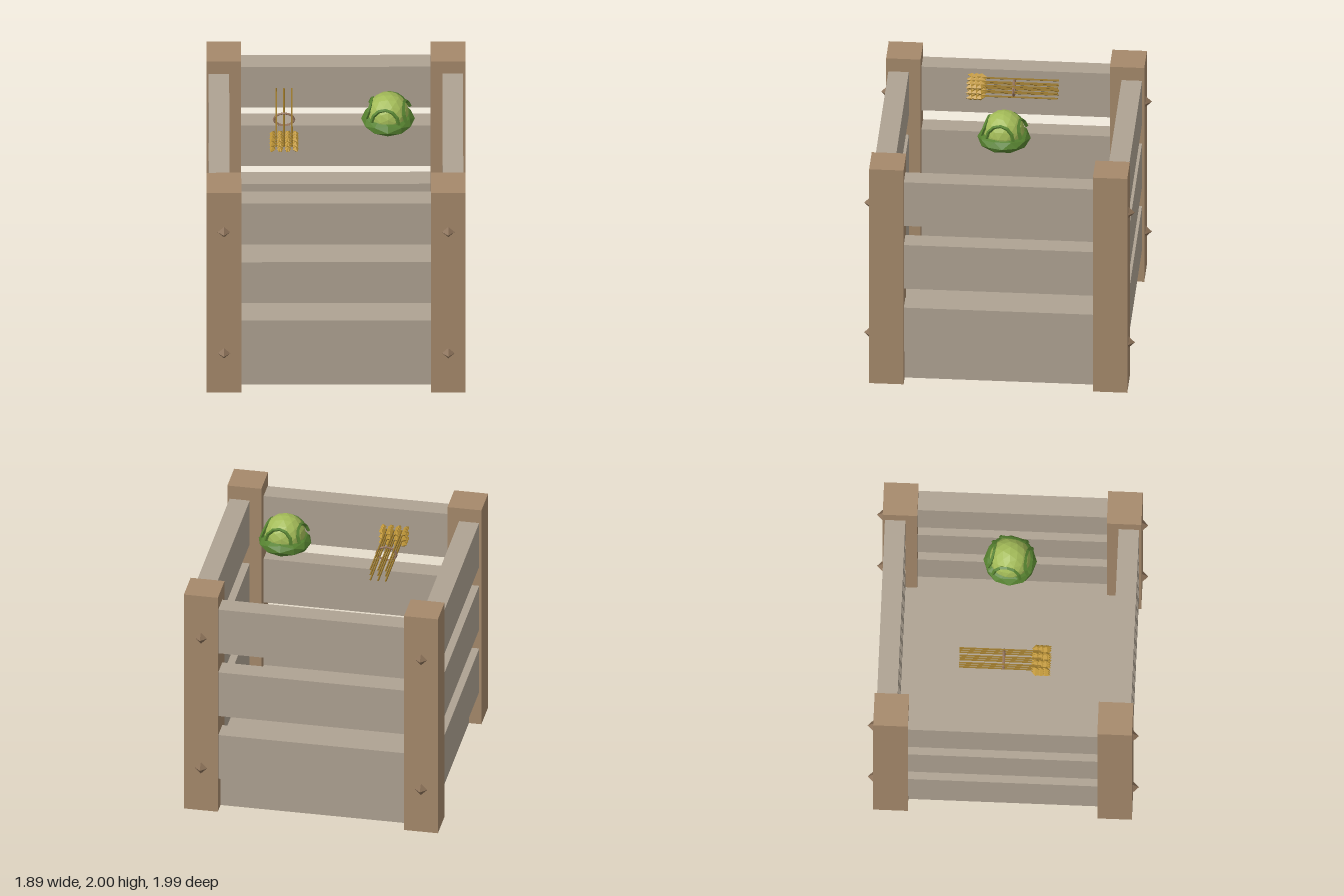
import * as THREE from 'three';

const flat = (name, color) => {
  const m = new THREE.MeshStandardMaterial({ color, flatShading: true });
  m.name = name;
  return m;
};

export function createModel() {
  const mats = {
    post: flat('post wood', 0xa5896b),
    slat: flat('weathered slat wood', 0xaea292),
    stud: flat('stud brown', 0x8c7259),
    outerLeaf: flat('outer leaf green', 0x55802f),
    innerLeaf: flat('head green', 0xa3bb58),
    stalk: flat('straw stalk', 0x98762a),
    grain: flat('grain gold', 0xbf9638),
    twine: flat('twine', 0x94745c),
  };
  const model = new THREE.Group();
  model.name = 'crate';

  const add = (parent, name, geometry, material, x, y, z) => {
    const mesh = new THREE.Mesh(geometry, material);
    mesh.name = name;
    mesh.position.set(x, y, z);
    parent.add(mesh);
    return mesh;
  };

  // Corner posts, with pointed studs on the front and back faces
  const postGeo = new THREE.BoxGeometry(0.253, 1.8, 0.253);
  const studGeo = new THREE.OctahedronGeometry(0.05);
  for (const sx of [-1, 1]) {
    for (const sz of [-1, 1]) {
      add(model, 'post', postGeo, mats.post, sx * 0.82, 0.9, sz * 0.82);
      for (const y of [0.355, 1.447]) {
        add(model, 'stud', studGeo, mats.stud, sx * 0.82, y, sz * 0.943);
      }
    }
  }

  // Three slats on each of the four sides
  const slatGeo = new THREE.BoxGeometry(1.5, 0.367, 0.15);
  for (const y of [0.453, 0.98, 1.508]) {
    for (let side = 0; side < 4; side++) {
      const a = side * Math.PI / 2;
      const slat = add(model, 'slat', slatGeo, mats.slat, Math.sin(a) * 0.855, y, Math.cos(a) * 0.855);
      slat.rotation.y = a;
    }
  }

  // Thick floor, set in a little from the slats
  add(model, 'floor', new THREE.BoxGeometry(1.71, 0.264, 1.71), mats.slat, 0, 0.138, 0);

  // Cabbage: flattened outer leaves, round head and arched leaf rims
  const cabbage = new THREE.Group();
  cabbage.name = 'cabbage';
  cabbage.position.set(0.38, 1.79, 0);
  model.add(cabbage);
  const bowl = add(cabbage, 'outerLeaves', new THREE.IcosahedronGeometry(0.196, 1), mats.outerLeaf, 0, 0, 0);
  bowl.scale.y = 0.42;
  add(cabbage, 'cabbageHead', new THREE.IcosahedronGeometry(0.152, 2), mats.innerLeaf, 0, 0.058, 0);
  const archGeo = new THREE.TorusGeometry(0.1, 0.014, 4, 6, Math.PI);
  for (let i = 0; i < 4; i++) {
    const turn = new THREE.Group();
    turn.name = 'leafRim';
    turn.rotation.y = i * Math.PI / 2 - 0.15;
    cabbage.add(turn);
    const arch = add(turn, 'leafArch', archGeo, mats.outerLeaf, 0, 0.055, 0.147);
    arch.rotation.x = -0.33;
  }

  // Wheat bundle: a three by three grid of stalks with paired kernels
  const wheat = new THREE.Group();
  wheat.name = 'wheatBundle';
  wheat.position.set(-0.38, 1.77, 0);
  model.add(wheat);
  const stalkGeo = new THREE.CylinderGeometry(0.007, 0.007, 0.6, 5).rotateX(Math.PI / 2);
  const kernelGeo = new THREE.OctahedronGeometry(1).scale(0.023, 0.023, 0.04);
  for (const x of [-0.057, 0, 0.057]) {
    for (const y of [-0.044, 0, 0.044]) {
      add(wheat, 'stalk', stalkGeo, mats.stalk, x, y, -0.04);
      for (const z of [0.225, 0.26, 0.295]) {
        for (const s of [-1, 1]) {
          const kernel = add(wheat, 'kernel', kernelGeo, mats.grain, x + s * 0.027, y, z);
          kernel.rotation.y = s * 0.35;
        }
      }
    }
  }

  // Twine around the stalks
  const twine = add(wheat, 'twine', new THREE.TorusGeometry(0.073, 0.01, 5, 12), mats.twine, 0, 0, -0.015);
  twine.scale.y = 0.75;

  return model;
}
